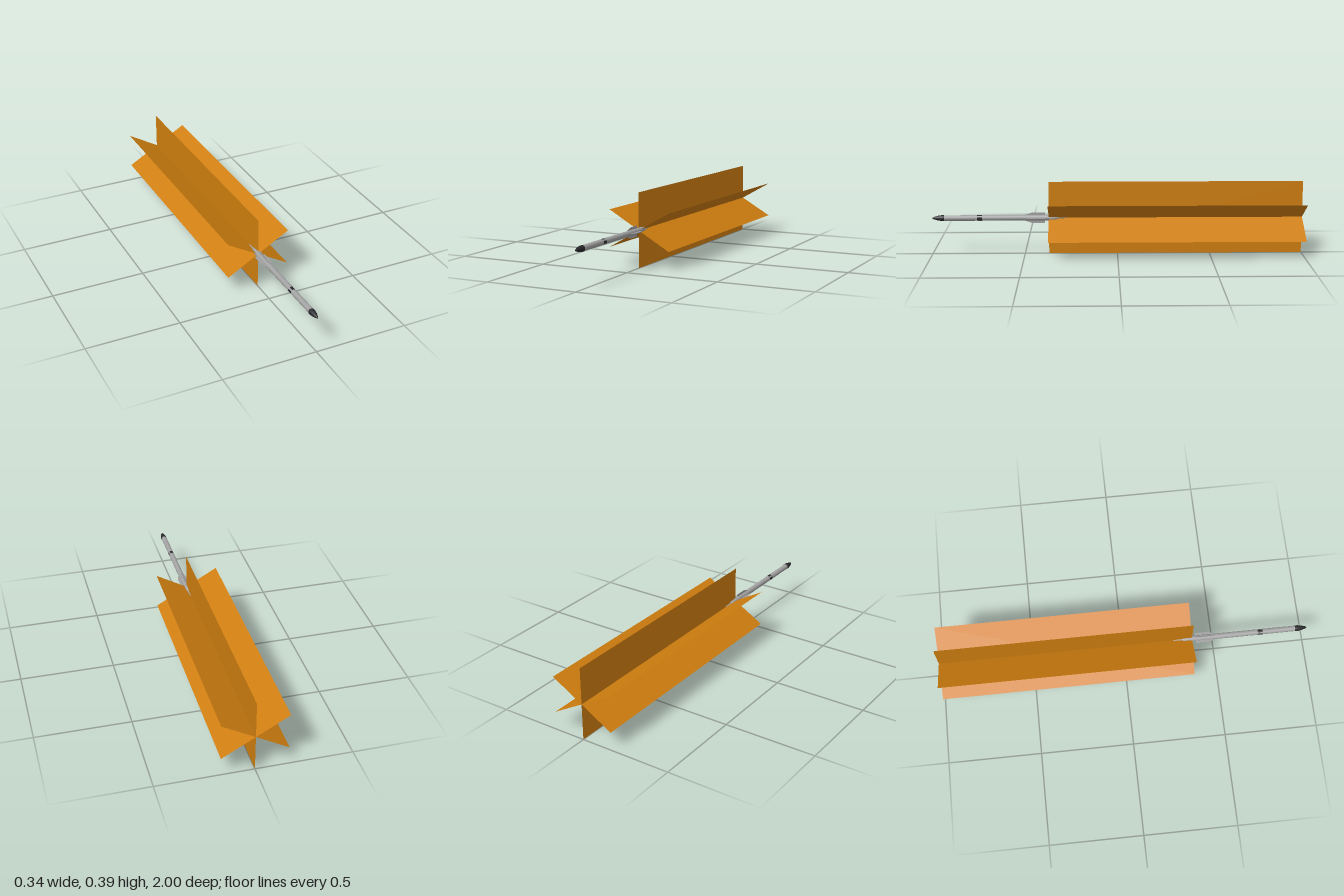
import * as THREE from 'three';

const AXIS_Y = 0.197;

export function createModel() {
  const root = new THREE.Group();
  root.name = 'rocketWithExhaust';
  const mat = (name, color, side = THREE.FrontSide) => {
    const m = new THREE.MeshStandardMaterial({ color, side });
    m.name = name;
    return m;
  };
  const grey = mat('bodyGrey', 0xa2a2a2);
  const black = mat('noseBlack', 0x28282b);
  const orange = mat('exhaustOrange', 0xcf7e0f, THREE.DoubleSide);

  // Everything is built around the flight axis, which runs along z
  const rocket = new THREE.Group();
  rocket.name = 'rocket';
  rocket.position.y = AXIS_Y;
  root.add(rocket);
  const add = (name, geometry, material) => {
    const mesh = new THREE.Mesh(geometry, material);
    mesh.name = name;
    rocket.add(mesh);
    return mesh;
  };
  // Turned part from [radius, z] pairs, listed from the tail forward
  const turned = (points) => {
    const g = new THREE.LatheGeometry(points.map(([r, z]) => new THREE.Vector2(r, z)), 24);
    return g.rotateX(Math.PI / 2);
  };

  add('body', turned([[0, 0.32], [0.012, 0.32], [0.015, 0.35], [0.015, 0.94]]), grey);
  add('nozzle', turned([[0, 0.27], [0.004, 0.27], [0.007, 0.32]]), grey);
  add('noseCone', turned([[0.0145, 0.932], [0.016, 0.935], [0.0155, 0.95], [0.012, 0.97],
    [0.006, 0.99], [0, 1]]), black);

  // Tail fin outline, radius against z
  const outline = new THREE.Shape([[0.012, 0.39], [0.029, 0.39], [0.029, 0.46], [0.015, 0.5], [0.012, 0.5]]
    .map(([r, z]) => new THREE.Vector2(r, z)));
  const finGeometry = new THREE.ExtrudeGeometry(outline, { depth: 0.002, bevelEnabled: false });
  finGeometry.translate(0, 0, -0.001).rotateX(Math.PI / 2);

  // Painted marks wrapped around the body
  const markArc = Math.PI / 3;
  const markGeometry = new THREE.CylinderGeometry(0.0154, 0.0154, 0.027, 8, 1, true,
    Math.PI / 2 - markArc / 2, markArc);
  markGeometry.rotateX(Math.PI / 2).translate(0, 0, 0.742);

  for (let i = 0; i < 4; i++) {
    add('fin', finGeometry, grey).rotation.z = i * Math.PI / 2;
    add('bandMark', markGeometry, black).rotation.z = i * Math.PI / 2;
  }

  // Three crossed exhaust sheets, 60 degrees apart
  const sheetGeometry = new THREE.PlaneGeometry(2 * AXIS_Y, 1.37);
  sheetGeometry.rotateX(-Math.PI / 2).translate(0, 0, -0.315);
  for (let i = 0; i < 3; i++) {
    add('exhaustSheet', sheetGeometry, orange).rotation.z = Math.PI / 6 + i * Math.PI / 3;
  }
  return root;
}
